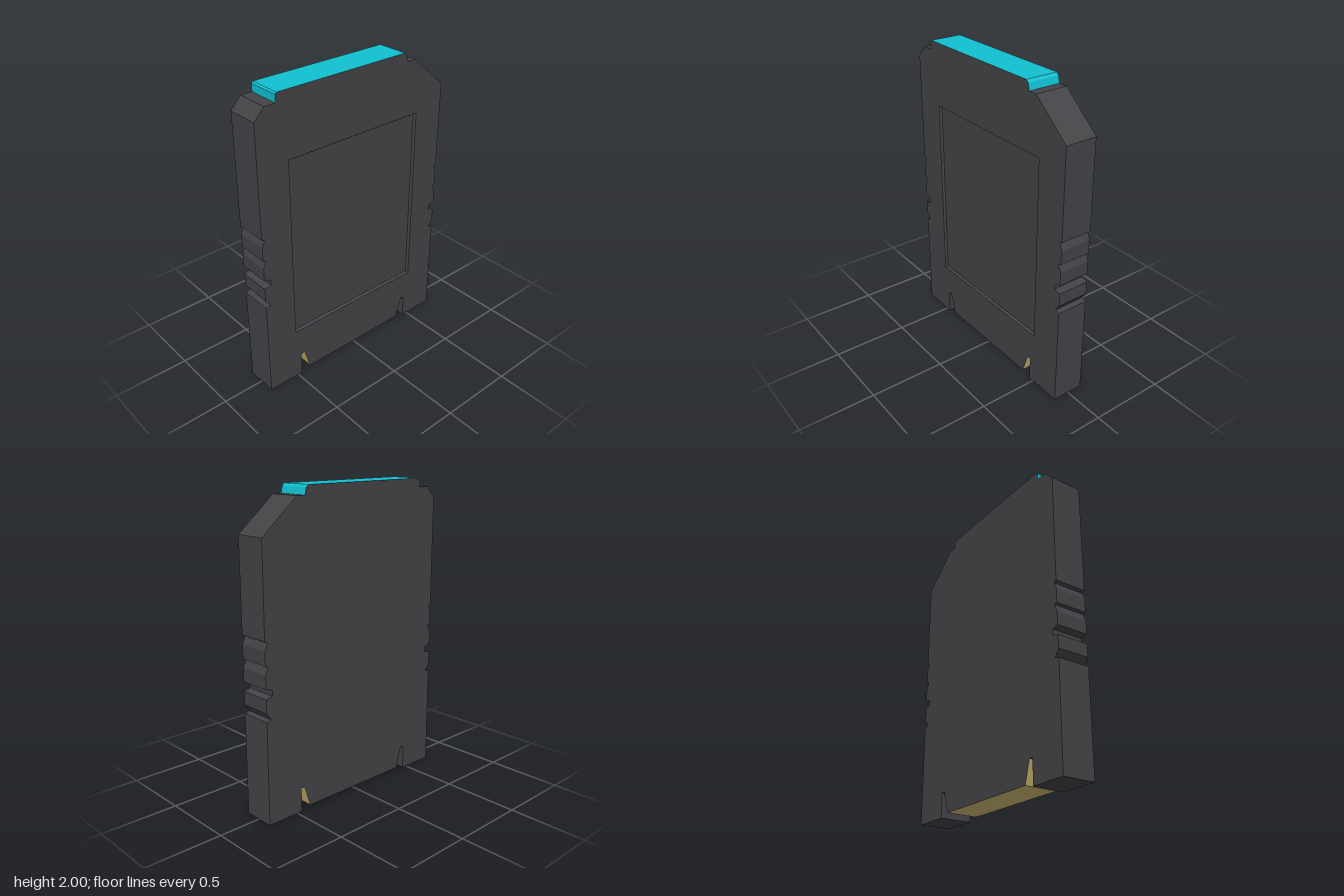
import * as THREE from 'three';

const H = 0.107;      // half thickness
const DEPTH = 0.015;  // recess depth

function material(name, color) {
  const m = new THREE.MeshStandardMaterial({ color });
  m.name = name;
  return m;
}

// Flat-shaded mesh geometry from a list of four-corner faces
function quads(list) {
  const pos = [];
  for (const [a, b, c, d] of list) pos.push(...a, ...b, ...c, ...a, ...c, ...d);
  const g = new THREE.BufferGeometry();
  g.setAttribute('position', new THREE.Float32BufferAttribute(pos, 3));
  g.computeVertexNormals();
  return g;
}

// Grip notches from bottom to top, as [distance in from the side, height]
const grips = [
  [0, 0.66], [0.032, 0.67], [0, 0.715],
  [0, 0.80], [0.045, 0.812], [0.045, 0.85], [0, 0.86],
  [0, 0.945], [0.022, 0.995], [0, 1.0],
  [0, 1.09], [0.02, 1.135], [0, 1.145],
];
const W = 0.718;

// Counter-clockwise outline; each run of points tags the edges that start there
const runs = [
  ['case', [[-W, 0], [-0.468, 0], [-0.468, 0.16], [-0.44, 0.16]]],
  ['contact', [[-0.44, 0.16], [-0.40, 0.02], [0.395, 0.02]]],
  ['case', [[0.44, 0.16], [0.465, 0.16], [0.465, 0], [W, 0],
    ...grips.map(([d, y]) => [W - d, y]),
    [W, 1.73], [0.465, 1.942]]],
  ['label', [[0.405, 1.942], [0.395, 1.985], [0.38, 2], [-0.565, 2], [-0.575, 1.99]]],
  ['case', [[-0.575, 1.942], [-0.65, 1.942], [-W, 1.87],
    ...grips.slice().reverse().map(([d, y]) => [-W + d, y])]],
];
runs[0][1].pop(); // shared corner belongs to the contact run

export function createModel() {
  const group = new THREE.Group();
  const charcoal = material('charcoal plastic', 0x434246);
  const teal = material('teal label', 0x10c0d0);
  const tan = material('tan contacts', 0xcdb872);
  const add = (name, geometry, mat) => {
    const mesh = new THREE.Mesh(geometry, mat);
    mesh.name = name;
    group.add(mesh);
    return mesh;
  };

  const outline = runs.flatMap(([tag, pts]) => pts.map(([x, y]) => ({ x, y, tag })));
  const shape = () => new THREE.Shape(outline.map(p => new THREE.Vector2(p.x, p.y)));

  // Edge walls, sorted by colour
  const walls = { case: [], contact: [], label: [] };
  outline.forEach((a, i) => {
    const b = outline[(i + 1) % outline.length];
    walls[a.tag].push([[a.x, a.y, -H], [b.x, b.y, -H], [b.x, b.y, H], [a.x, a.y, H]]);
  });
  add('caseEdge', quads(walls.case), charcoal);
  add('contactEdge', quads(walls.contact), tan);
  add('topLabelEdge', quads(walls.label), teal);

  // Back face
  const back = add('caseBack', new THREE.ShapeGeometry(shape()), charcoal);
  back.geometry.scale(-1, 1, 1).rotateY(Math.PI);
  const index = back.geometry.index;
  for (let i = 0; i < index.count; i += 3) {
    const t = index.getX(i);
    index.setX(i, index.getX(i + 1));
    index.setX(i + 1, t);
  }
  back.geometry.computeVertexNormals();
  back.position.z = -H;

  // Front face with the label recess cut out
  const rect = (inset, z) => [
    [-0.505 + inset, 0.36 + inset, z], [0.5 - inset, 0.36 + inset, z],
    [0.5 - inset, 1.585 - inset, z], [-0.505 + inset, 1.585 - inset, z],
  ];
  const outer = rect(0, H), inner = rect(0.01, H - DEPTH);
  const front = shape();
  front.holes.push(new THREE.Path(outer.map(([x, y]) => new THREE.Vector2(x, y)).reverse()));
  add('caseFront', new THREE.ShapeGeometry(front), charcoal).position.z = H;

  // Sloped recess walls and floor
  add('recessWalls', quads(outer.map((a, i) => {
    const j = (i + 1) % 4;
    return [a, outer[j], inner[j], inner[i]];
  })), charcoal);
  add('recessFloor', quads([inner]), charcoal);

  return group;
}
